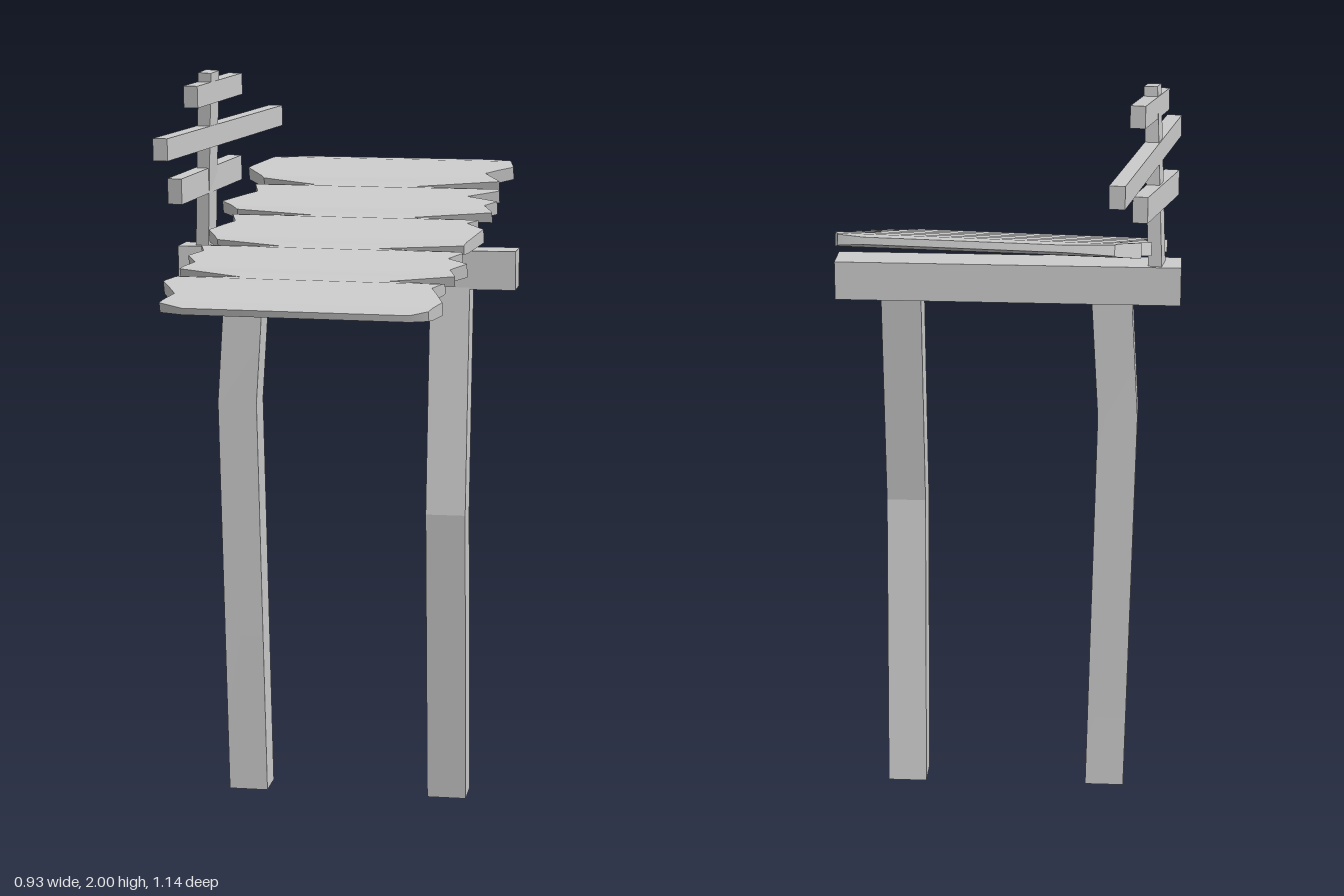
import * as THREE from 'three';
import { toCreasedNormals } from 'three/addons/utils/BufferGeometryUtils.js';

const grey = new THREE.MeshStandardMaterial({ color: 0xcccccc });
const YAW = 0.081; // the beam and legs are turned slightly

function box(name, size, pos, rot = [0, 0, 0]) {
  const mesh = new THREE.Mesh(new THREE.BoxGeometry(...size), grey);
  mesh.name = name;
  mesh.position.set(...pos);
  mesh.rotation.set(...rot);
  return mesh;
}

// Square post whose middle ring is shifted to the knee point
function bentLeg(name, foot, knee, kneeY, top) {
  const geo = new THREE.BoxGeometry(0.107, 2, 0.097, 1, 2, 1);
  geo.rotateY(YAW);
  const p = geo.attributes.position;
  const rings = [[foot, 0], [knee, kneeY], [top, 1.45]];
  for (let i = 0; i < p.count; i++) {
    const [[x, z], y] = rings[Math.round(p.getY(i)) + 1];
    p.setXYZ(i, p.getX(i) + x, y, p.getZ(i) + z);
  }
  const mesh = new THREE.Mesh(toCreasedNormals(geo.toNonIndexed(), 0.1), grey);
  mesh.name = name;
  return mesh;
}

// Ragged plank ends as [z, x], with deep notches at the joints
const leftEdge = [
  [-0.571, -0.22], [-0.55, -0.34], [-0.44, -0.395], [-0.37, -0.33], [-0.345, -0.17],
  [-0.315, -0.34], [-0.25, -0.315], [-0.17, -0.395], [-0.125, -0.34], [-0.107, -0.11],
  [-0.08, -0.34], [-0.02, -0.315], [0.05, -0.37], [0.105, -0.33], [0.125, -0.145],
  [0.155, -0.36], [0.2, -0.34], [0.24, -0.37], [0.28, -0.34], [0.32, -0.37], [0.345, -0.2],
  [0.37, -0.355], [0.415, -0.385], [0.495, -0.33], [0.548, -0.355], [0.569, -0.29],
];
const rightEdge = [
  [-0.571, 0.28], [-0.55, 0.35], [-0.485, 0.37], [-0.43, 0.3], [-0.375, 0.35], [-0.345, 0.11],
  [-0.315, 0.355], [-0.295, 0.365], [-0.245, 0.285], [-0.21, 0.375], [-0.18, 0.345],
  [-0.135, 0.375], [-0.107, 0.155], [-0.07, 0.35], [-0.045, 0.325], [0, 0.378],
  [0.105, 0.345], [0.125, 0.115], [0.155, 0.35], [0.17, 0.355], [0.21, 0.325],
  [0.245, 0.382], [0.285, 0.345], [0.32, 0.365], [0.345, 0.2], [0.37, 0.35],
  [0.41, 0.325], [0.5, 0.37], [0.55, 0.345], [0.569, 0.3],
];
const joints = [-0.571, -0.345, -0.107, 0.125, 0.345, 0.569];

// Half thickness along z: full in each plank, thin at the joints
const thickness = [];
joints.forEach((z, i) => {
  if (i > 0) thickness.push([z - 0.035, 0.0165]);
  thickness.push([z, i % 5 ? 0.006 : 0.009]);
  if (i < 5) thickness.push([z + 0.035, 0.0165], [(z + joints[i + 1]) / 2, 0.019]);
});
thickness.sort((a, b) => a[0] - b[0]);

function sample(table, z) {
  for (let i = 1; i < table.length; i++) {
    const [z0, v0] = table[i - 1], [z1, v1] = table[i];
    if (z <= z1) return v0 + (v1 - v0) * (z - z0) / (z1 - z0);
  }
  return table[table.length - 1][1];
}

// Roof: rectangular sections lofted from back to front
function plankRoof(tilt) {
  const all = [...leftEdge, ...rightEdge, ...thickness].map((e) => e[0]);
  const stations = [...new Set(all)].sort((a, b) => a - b);
  const sections = stations.map((z) => {
    const l = sample(leftEdge, z), r = sample(rightEdge, z), h = sample(thickness, z);
    const s = z / Math.cos(tilt);
    return [[l, -h, s], [r, -h, s], [r, h, s], [l, h, s]];
  });
  const out = [];
  const quad = (a, b, c, d) => out.push(...a, ...b, ...c, ...a, ...c, ...d);
  for (let i = 1; i < sections.length; i++) {
    const a = sections[i - 1], b = sections[i];
    for (let k = 0; k < 4; k++) {
      const n = (k + 1) % 4;
      quad(a[k], a[n], b[n], b[k]);
    }
  }
  const first = sections[0], last = sections[sections.length - 1];
  quad(first[3], first[2], first[1], first[0]);
  quad(...last);
  const geo = new THREE.BufferGeometry();
  geo.setAttribute('position', new THREE.Float32BufferAttribute(out, 3));
  const mesh = new THREE.Mesh(toCreasedNormals(geo, 0.6), grey);
  mesh.name = 'plankRoof';
  mesh.position.y = 1.567;
  mesh.rotation.x = tilt;
  return mesh;
}

export function createModel() {
  const model = new THREE.Group();
  model.name = 'plankStand';

  // Supports
  model.add(bentLeg('leftLeg', [0.283, -0.048], [0.292, 0.037], 0.82, [0.283, -0.048]));
  model.add(bentLeg('rightLeg', [-0.272, 0.006], [-0.295, 0.014], 1.1, [-0.275, 0.006]));
  model.add(box('crossBeam', [0.92, 0.104, 0.103], [0, 1.474, -0.025], [0, YAW, 0]));

  model.add(plankRoof(0.257));

  // Signpost with three slanted boards
  const sign = new THREE.Group();
  sign.name = 'signpost';
  sign.add(box('signPole', [0.036, 0.5, 0.064], [-0.383, 1.747, 0.018], [0.085, -0.06, -0.05]));
  sign.add(box('topBoard', [0.04, 0.058, 0.322], [-0.369, 1.944, 0.001], [0.065, -0.1, 0]));
  sign.add(box('middleBoard', [0.04, 0.058, 0.936], [-0.372, 1.827, -0.082], [0.036, -0.06, 0]));
  sign.add(box('bottomBoard', [0.04, 0.068, 0.432], [-0.388, 1.705, 0.018], [0.075, -0.1, 0]));
  model.add(sign);

  return model;
}
